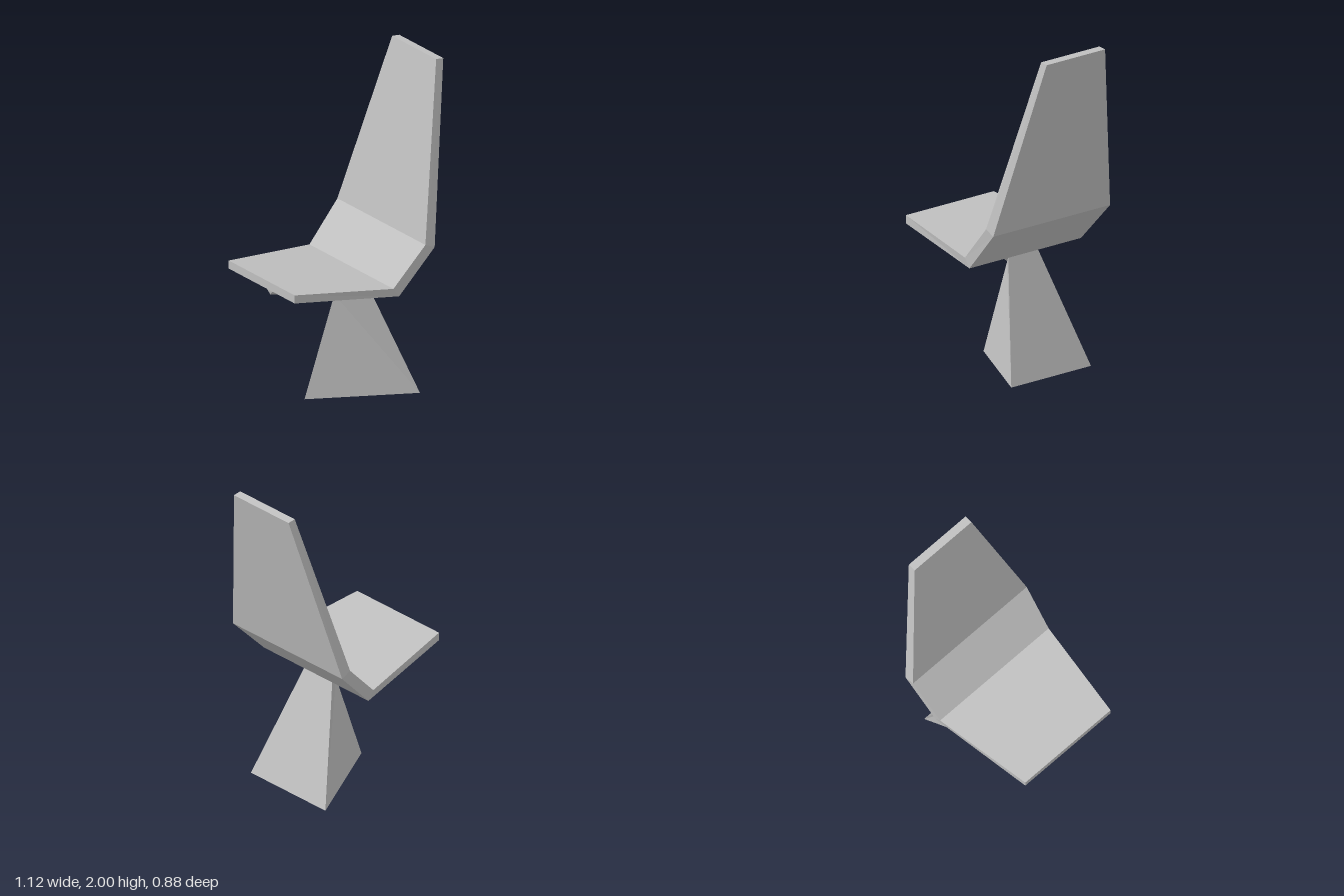
import * as THREE from 'three';

const quad = (a, b, c, d) => [a, b, c, a, c, d];
const mirrorZ = ([x, y, z]) => [x, y, -z];

// Adds the mirrored, reversed copy of a list of triangles.
const mirrored = (points) => [...points, ...points.map(mirrorZ).reverse()];

function facetedMesh(name, points, material) {
  const geometry = new THREE.BufferGeometry();
  geometry.setAttribute('position', new THREE.Float32BufferAttribute(points.flat(), 3));
  geometry.computeVertexNormals();
  const mesh = new THREE.Mesh(geometry, material);
  mesh.name = name;
  return mesh;
}

export function createModel() {
  const model = new THREE.Group();
  model.name = 'chair';
  const grey = new THREE.MeshStandardMaterial({ color: 0xc0c0c0 });
  grey.name = 'light grey';

  // Seat shell: upper x, y; lower x, y; half width, from front edge to top of back
  const rings = [
    [-0.56, 0.82, -0.56, 0.77, 0.33],
    [0.07, 0.745, 0.11, 0.69, 0.42],
    [0.28, 0.975, 0.345, 0.947, 0.44],
    [0.51, 2.0, 0.56, 1.995, 0.22],
  ].map(([ux, uy, lx, ly, w]) => [[ux, uy, w], [lx, ly, w], [lx, ly, -w], [ux, uy, -w]]);

  const shell = [...quad(...[...rings[0]].reverse()), ...quad(...rings[3])];
  for (let s = 0; s < 3; s++) {
    for (let k = 0; k < 4; k++) {
      const n = (k + 1) % 4;
      shell.push(...quad(rings[s][k], rings[s][n], rings[s + 1][n], rings[s + 1][k]));
    }
  }
  model.add(facetedMesh('seatShell', shell, grey));

  // Corners of the pedestal and the arm under the seat
  const toe = [-0.26, 0, 0];
  const heel = [0.34, 0, 0.3];
  const neck = [-0.05, 0.6, 0];
  const top = [0.09, 0.69, 0.11];
  const armTop = [-0.51, 0.763, 0.06];
  const armTip = [-0.5, 0.705, 0];

  // Pedestal on a triangular footprint
  model.add(facetedMesh('pedestal', [
    ...mirrored([toe, heel, neck, neck, heel, top]),
    ...quad(heel, mirrorZ(heel), mirrorZ(top), top),
    toe, mirrorZ(heel), heel,
  ], grey));

  // Keel-shaped arm carrying the seat
  model.add(facetedMesh('supportArm', [
    ...mirrored([neck, top, armTop, neck, armTop, armTip]),
    ...quad(top, mirrorZ(top), mirrorZ(armTop), armTop),
    armTip, armTop, mirrorZ(armTop),
  ], grey));

  return model;
}
